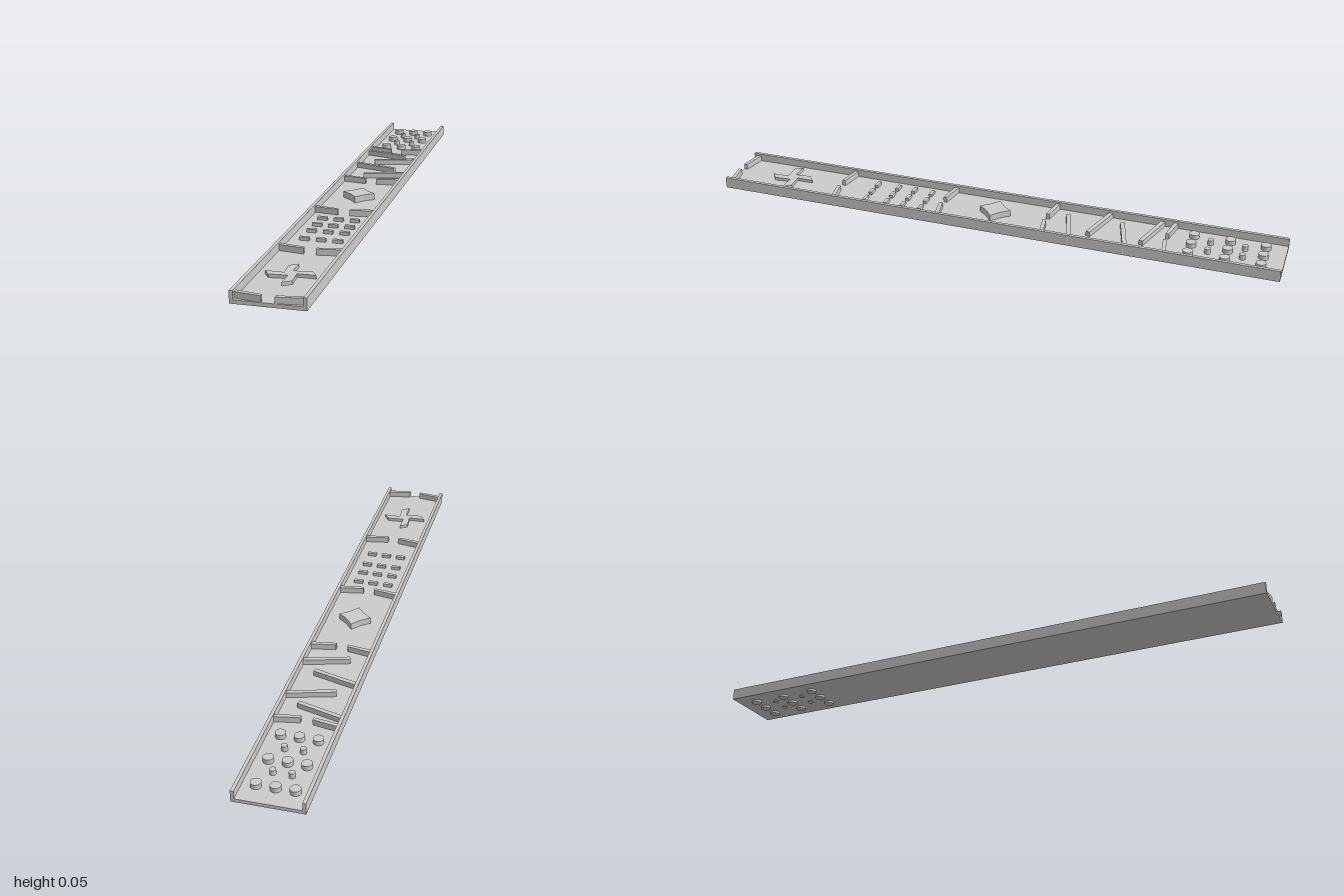
import * as THREE from 'three';

const FLOOR = 0.02;

export function createModel() {
  const model = new THREE.Group();
  const material = new THREE.MeshStandardMaterial({ color: 0xcccccc, flatShading: true });
  const smooth = new THREE.MeshStandardMaterial({ color: 0xcccccc });

  const add = (name, geometry, mat = material) => {
    const mesh = new THREE.Mesh(geometry, mat);
    mesh.name = name;
    model.add(mesh);
    return mesh;
  };

  // Box given by its limits
  const box = (name, x0, x1, y0, y1, z0, z1) =>
    add(name, new THREE.BoxGeometry(x1 - x0, y1 - y0, z1 - z0))
      .position.set((x0 + x1) / 2, (y0 + y1) / 2, (z0 + z1) / 2);

  // Upright prism from an [x, z] outline
  const prism = (name, points, y0, y1) => {
    const shape = new THREE.Shape(points.map(([x, z]) => new THREE.Vector2(x, -z)));
    const geometry = new THREE.ExtrudeGeometry(shape, { depth: y1 - y0, bevelEnabled: false });
    geometry.rotateX(-Math.PI / 2);
    geometry.translate(0, y0, 0);
    return add(name, geometry);
  };

  // Tray
  box('floor', -0.112, 0.109, 0.008, FLOOR, -1, 1);
  box('rightWall', -0.115, -0.104, 0.008, 0.047, -1, 1);
  box('leftWall', 0.1, 0.111, 0.008, 0.047, -1, 1);

  // Funnel gates between the sections
  for (const z of [-0.605, -0.185, 0.195, 0.59, 0.993]) {
    for (const side of [-1, 1]) {
      const x = (d) => -0.002 + side * d;
      prism('gate', [
        [x(0.104), z - 0.021], [x(0.02), z - 0.006],
        [x(0.02), z + 0.006], [x(0.104), z - 0.006],
      ], 0.015, 0.04);
    }
  }

  // Slanted deflector bars, alternating sides
  const bars = [
    [-0.104, -0.573, 0.048, -0.53], [-0.052, -0.443, 0.11, -0.49],
    [-0.104, -0.39, 0.048, -0.347], [-0.048, -0.252, 0.11, -0.299],
  ];
  for (const [x0, z0, x1, z1] of bars) {
    const dx = x1 - x0, dz = z1 - z0;
    const bar = add('deflectorBar', new THREE.BoxGeometry(Math.hypot(dx, dz), 0.028, 0.015));
    bar.position.set((x0 + x1) / 2, 0.024, (z0 + z1) / 2);
    bar.rotation.y = -Math.atan2(dz, dx);
  }

  // Round pegs that pass through the floor
  const peg = (name, x, z, r, y0, y1) =>
    add(name, new THREE.CylinderGeometry(r, r, y1 - y0, 32), smooth).position.set(x, (y0 + y1) / 2, z);
  for (const z of [-0.93, -0.812, -0.69])
    for (const x of [-0.063, -0.003, 0.057]) peg('largePeg', x, z, 0.017, 0, 0.036);
  for (const z of [-0.865, -0.75])
    for (const x of [-0.033, 0.026]) peg('smallPeg', x, z, 0.01, 0.005, 0.038);

  // Slightly concave diamond in the middle section
  const diamond = [];
  for (let i = 0; i < 8; i++) {
    const r = i % 2 ? 0.035 : 0.056;
    const a = (i * Math.PI) / 4;
    diamond.push([r * Math.cos(a), r * Math.sin(a)]);
  }
  prism('diamondBlock', diamond, 0.015, 0.042);

  // Rows of small blocks
  for (const z of [0.26, 0.327, 0.39, 0.47])
    for (const x of [-0.057, -0.002, 0.053])
      box('smallBlock', x - 0.016, x + 0.016, 0.015, 0.031, z - 0.006, z + 0.006);

  // Pinwheel with four pointed arms
  const pinwheel = [];
  for (let i = 0; i < 4; i++) {
    const c = Math.cos((i * Math.PI) / 2), s = Math.sin((i * Math.PI) / 2);
    for (const [x, z] of [[-0.025, -0.06], [0.002, -0.079], [0.002, -0.02]])
      pinwheel.push([-0.003 + x * c - z * s, 0.787 + x * s + z * c]);
  }
  prism('pinwheel', pinwheel, 0.015, 0.031);

  return model;
}
